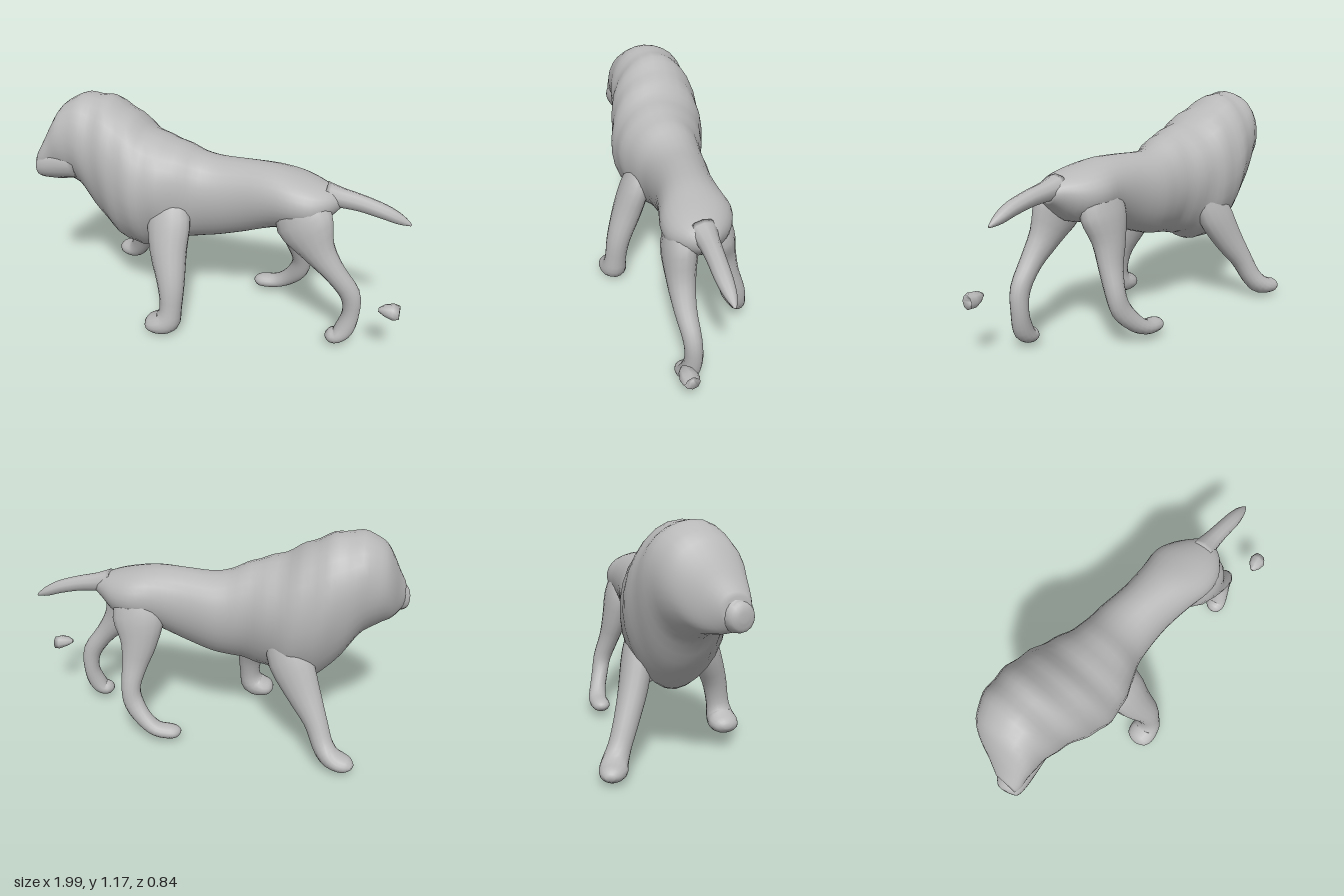
import * as THREE from 'three';

const fur = new THREE.MeshStandardMaterial({ color: 0xb8b8b8 });
fur.name = 'stone grey';

// smooth interpolation through rows of numbers
function refine(rows, steps) {
  const out = [];
  for (let i = 0; i < rows.length - 1; i++) {
    const p0 = rows[Math.max(i - 1, 0)], p1 = rows[i], p2 = rows[i + 1], p3 = rows[Math.min(i + 2, rows.length - 1)];
    for (let s = 0; s < steps; s++) {
      const t = s / steps;
      out.push(p1.map((b, k) => {
        const a = p0[k], c = p2[k], d = p3[k];
        return 0.5 * (2 * b + (c - a) * t + (2 * a - 5 * b + 4 * c - d) * t * t + (3 * b - a - 3 * c + d) * t * t * t);
      }));
    }
  }
  out.push(rows[rows.length - 1]);
  return out;
}

// closed skin over elliptical rings; each row is x, y, z, radius in profile, radius sideways
function loft(name, rows, { sides = 16, steps = 3, upright = false, taper = 0, bump = null } = {}) {
  const rings = refine(rows, steps);
  const pos = [], idx = [];
  const centre = rings.map(r => new THREE.Vector3(r[0], r[1], r[2]));
  const zAxis = new THREE.Vector3(0, 0, 1);
  rings.forEach((r, i) => {
    const t = upright ? new THREE.Vector3(1, 0, 0)
      : centre[Math.min(i + 1, rings.length - 1)].clone().sub(centre[Math.max(i - 1, 0)]).normalize();
    const u = zAxis.clone().cross(t).normalize();
    const w = t.clone().cross(u);
    for (let j = 0; j < sides; j++) {
      const a = j / sides * Math.PI * 2;
      const k = bump ? bump(r[0], a) : 1;
      const p = centre[i].clone()
        .addScaledVector(u, Math.cos(a) * r[3] * k)
        .addScaledVector(w, Math.sin(a) * r[4] * k * (1 + taper * Math.cos(a)));
      pos.push(p.x, p.y, p.z);
    }
  });
  for (let i = 0; i < rings.length - 1; i++) {
    for (let j = 0; j < sides; j++) {
      const a = i * sides + j, b = i * sides + (j + 1) % sides;
      idx.push(a, b, b + sides, a, b + sides, a + sides);
    }
  }
  // end caps
  const first = pos.length / 3, base = (rings.length - 1) * sides;
  const c0 = centre[0], c1 = centre[centre.length - 1];
  pos.push(c0.x, c0.y, c0.z, c1.x, c1.y, c1.z);
  for (let j = 0; j < sides; j++) {
    const n = (j + 1) % sides;
    idx.push(first, n, j, first + 1, base + j, base + n);
  }
  const g = new THREE.BufferGeometry();
  g.setAttribute('position', new THREE.Float32BufferAttribute(pos, 3));
  g.setIndex(idx);
  g.computeVertexNormals();
  const mesh = new THREE.Mesh(g, fur);
  mesh.name = name;
  return mesh;
}

// body row from top, bottom, and the two side limits
const slice = (x, top, bottom, z0, z1) => [x, (top + bottom) / 2, (z0 + z1) / 2, (top - bottom) / 2, (z1 - z0) / 2];

export function createModel() {
  const group = new THREE.Group();
  group.name = 'lion';

  // mane folds fade out behind the shoulder
  const folds = (x, a) => {
    const f = THREE.MathUtils.clamp((-0.08 - x) / 0.15, 0, 1) * THREE.MathUtils.clamp((x + 0.92) / 0.15, 0, 1);
    return 1 + f * (0.016 * Math.sin(x * 42 + 1.5 * Math.cos(a)) + 0.01 * Math.sin(5 * a + x * 17));
  };

  // head, mane, trunk and rump
  group.add(loft('headAndBody', [
    slice(-0.975, 0.87, 0.74, 0.05, 0.17),
    slice(-0.94, 0.94, 0.71, -0.02, 0.18),
    slice(-0.90, 1.03, 0.70, -0.11, 0.18),
    slice(-0.85, 1.11, 0.69, -0.17, 0.185),
    slice(-0.77, 1.155, 0.64, -0.215, 0.19),
    slice(-0.68, 1.16, 0.52, -0.24, 0.20),
    slice(-0.60, 1.145, 0.42, -0.26, 0.22),
    slice(-0.50, 1.10, 0.35, -0.265, 0.25),
    slice(-0.40, 1.035, 0.345, -0.25, 0.265),
    slice(-0.30, 0.99, 0.39, -0.215, 0.255),
    slice(-0.20, 0.965, 0.42, -0.18, 0.225),
    slice(-0.10, 0.92, 0.44, -0.165, 0.18),
    slice(0.00, 0.90, 0.46, -0.16, 0.165),
    slice(0.15, 0.905, 0.51, -0.135, 0.165),
    slice(0.30, 0.905, 0.57, -0.13, 0.19),
    slice(0.42, 0.885, 0.60, -0.14, 0.215),
    slice(0.52, 0.86, 0.62, -0.10, 0.205),
    slice(0.60, 0.83, 0.69, -0.03, 0.15),
    slice(0.64, 0.80, 0.73, 0.01, 0.09),
  ], { sides: 28, upright: true, taper: 0.1, bump: folds }));

  // muzzle, turned slightly to the left
  group.add(loft('muzzle', [
    [-0.80, 0.81, 0.07, 0.10, 0.11],
    [-0.90, 0.80, 0.105, 0.095, 0.085],
    [-0.96, 0.785, 0.12, 0.075, 0.07],
    [-0.99, 0.785, 0.125, 0.055, 0.052],
    [-1.0, 0.785, 0.127, 0.02, 0.02],
  ]));

  // legs run from the hip or shoulder down to the toes
  const legs = {
    frontLegLeft: [
      [-0.23, 0.72, 0.13, 0.07, 0.05],
      [-0.22, 0.60, 0.18, 0.115, 0.075],
      [-0.205, 0.44, 0.24, 0.10, 0.08],
      [-0.17, 0.28, 0.305, 0.072, 0.066],
      [-0.165, 0.15, 0.33, 0.058, 0.06],
      [-0.185, 0.075, 0.338, 0.07, 0.072],
      [-0.24, 0.053, 0.34, 0.056, 0.078],
      [-0.285, 0.05, 0.34, 0.038, 0.06],
      [-0.305, 0.05, 0.34, 0.012, 0.02],
    ],
    frontLegRight: [
      [-0.36, 0.66, -0.13, 0.08, 0.06],
      [-0.42, 0.52, -0.17, 0.115, 0.075],
      [-0.50, 0.36, -0.215, 0.09, 0.07],
      [-0.57, 0.23, -0.265, 0.062, 0.06],
      [-0.61, 0.13, -0.305, 0.055, 0.056],
      [-0.65, 0.075, -0.335, 0.054, 0.062],
      [-0.70, 0.055, -0.355, 0.046, 0.066],
      [-0.745, 0.052, -0.375, 0.036, 0.05],
      [-0.77, 0.05, -0.385, 0.012, 0.02],
    ],
    hindLegLeft: [
      [0.42, 0.80, 0.11, 0.09, 0.06],
      [0.48, 0.67, 0.14, 0.15, 0.085],
      [0.565, 0.53, 0.155, 0.088, 0.07],
      [0.655, 0.42, 0.16, 0.056, 0.055],
      [0.735, 0.31, 0.15, 0.052, 0.046],
      [0.748, 0.20, 0.145, 0.044, 0.045],
      [0.725, 0.105, 0.155, 0.05, 0.05],
      [0.69, 0.06, 0.165, 0.042, 0.055],
      [0.65, 0.055, 0.168, 0.034, 0.045],
      [0.63, 0.055, 0.168, 0.01, 0.018],
    ],
    hindLegRight: [
      [0.42, 0.80, -0.04, 0.09, 0.06],
      [0.39, 0.66, -0.075, 0.14, 0.08],
      [0.385, 0.52, -0.105, 0.10, 0.07],
      [0.405, 0.40, -0.135, 0.07, 0.056],
      [0.42, 0.28, -0.175, 0.052, 0.05],
      [0.40, 0.19, -0.195, 0.054, 0.046],
      [0.34, 0.115, -0.22, 0.046, 0.045],
      [0.27, 0.07, -0.235, 0.038, 0.05],
      [0.19, 0.06, -0.232, 0.036, 0.05],
      [0.155, 0.06, -0.23, 0.025, 0.035],
      [0.14, 0.06, -0.23, 0.008, 0.012],
    ],
  };
  for (const [name, rows] of Object.entries(legs)) group.add(loft(name, rows));

  // tail
  group.add(loft('tail', [
    [0.56, 0.80, 0.055, 0.06, 0.07],
    [0.64, 0.785, 0.05, 0.05, 0.052],
    [0.74, 0.77, 0.05, 0.042, 0.044],
    [0.85, 0.742, 0.05, 0.036, 0.04],
    [0.93, 0.71, 0.045, 0.026, 0.028],
    [0.985, 0.686, 0.043, 0.006, 0.006],
  ], { sides: 10 }));

  // loose tuft beyond the tail, notched at the back
  group.add(loft('tailTuft', [
    [0.89, 0.305, 0.24, 0.01, 0.012],
    [0.92, 0.305, 0.235, 0.027, 0.036],
    [0.96, 0.30, 0.23, 0.04, 0.046],
    [0.99, 0.297, 0.225, 0.036, 0.034],
    [0.965, 0.297, 0.225, 0.012, 0.012],
  ], { sides: 8, steps: 1, upright: true }));

  return group;
}
